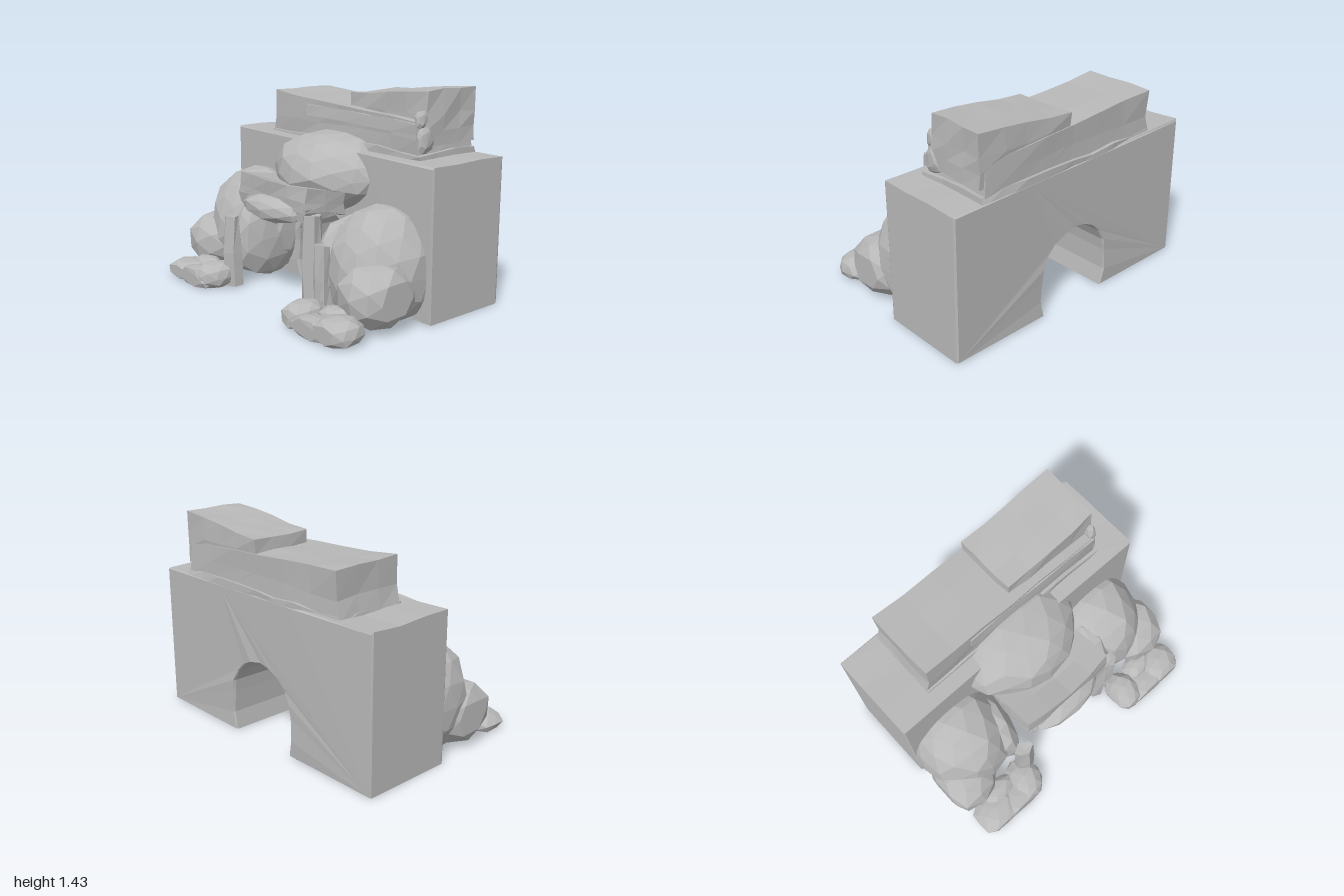
import * as THREE from 'three';

const stone = new THREE.MeshStandardMaterial({ color: 0xb8b8b8, flatShading: true });
stone.name = 'grey stone';

// Repeatable noise from a position, so shared corners move together
function noise(x, y, z, k) {
  const r = (v) => Math.round(v * 1000);
  const s = Math.sin(r(x) * 0.129 + r(y) * 0.782 + r(z) * 0.377 + k * 4.13) * 43758.55;
  return (s - Math.floor(s)) * 2 - 1;
}

// Moves every vertex by a rule, then keeps it inside the outer limits
function deform(geo, rule) {
  const p = geo.attributes.position;
  const v = new THREE.Vector3();
  for (let i = 0; i < p.count; i++) {
    rule(v.fromBufferAttribute(p, i));
    p.setXYZ(i, THREE.MathUtils.clamp(v.x, -1, 1), Math.max(v.y, 0), Math.min(v.z, 0.69));
  }
  geo.computeVertexNormals();
  return geo;
}

function jitter(v, a) {
  const { x, y, z } = v;
  v.x += noise(x, y, z, 1) * a;
  v.y += noise(x, y, z, 2) * a;
  v.z += noise(x, y, z, 3) * a;
}

export function createModel() {
  const model = new THREE.Group();
  model.name = 'rockArch';

  const add = (name, geo) => {
    const m = new THREE.Mesh(geo, stone);
    m.name = name;
    model.add(m);
  };

  // Faceted boulder: centre, radii, roughness
  const rock = (name, c, r, rough = 0.05, detail = 1) =>
    add(name, deform(new THREE.IcosahedronGeometry(1, detail), (v) => {
      jitter(v, rough);
      v.set(c[0] + v.x * r[0], c[1] + v.y * r[1], c[2] + v.z * r[2]);
    }));

  // Rough cut block between two corners, with an optional extra rule
  const block = (name, a, b, rule = () => {}, rough = 0.008, seg = [4, 2, 2]) => {
    const g = new THREE.BoxGeometry(b[0] - a[0], b[1] - a[1], b[2] - a[2], ...seg);
    g.translate((a[0] + b[0]) / 2, (a[1] + b[1]) / 2, (a[2] + b[2]) / 2);
    add(name, deform(g, (v) => { const o = v.clone(); jitter(v, rough); rule(v, o); }));
  };

  // Wall with the arched passage
  const s = new THREE.Shape();
  s.moveTo(-1, 0);
  s.lineTo(-0.27, 0);
  s.lineTo(-0.295, 0.12);
  s.lineTo(-0.29, 0.27);
  for (let i = 1; i < 10; i++) {
    const a = Math.PI * (1 - i / 10);
    s.lineTo(Math.cos(a) * 0.29, 0.27 + Math.sin(a) * 0.28);
  }
  s.lineTo(0.285, 0.27);
  s.lineTo(0.295, 0.12);
  s.lineTo(0.27, 0);
  s.lineTo(1, 0);
  s.lineTo(1, 0.99);
  s.lineTo(0.4, 0.995);
  s.lineTo(-0.3, 1.0);
  s.lineTo(-1, 1.015);
  s.closePath();
  const wall = new THREE.ExtrudeGeometry(s, {
    depth: 0.62, steps: 3, bevelThickness: 0.012, bevelSize: 0.008, bevelOffset: -0.008, bevelSegments: 1,
  });
  wall.translate(0, 0, -0.655);
  add('archWall', deform(wall, (v) => {
    const { x, y, z } = v;
    if (y > 0.9) v.y += noise(x, y, z, 2) * 0.008;
    v.z += noise(x, y, z, 3) * 0.006;
  }));

  // Stacked slabs on top
  block('slabLedge', [-0.71, 0.96, -0.655], [0.79, 1.03, -0.12], (v, o) => {
    if (o.y > 1) v.x *= 0.985;
  }, 0.014, [8, 1, 3]);
  block('lowerSlab', [-0.69, 1.0, -0.64], [0.74, 1.25, -0.14], (v, o) => {
    if (o.y > 1.2) v.y += o.x < 0.05 ? 0.015 - o.x * 0.055 : 0.005 - o.x * 0.03;
    if (o.y < 1.05) v.x += Math.sign(o.x) * 0.02;
  }, 0.008, [6, 2, 3]);
  block('upperSlab', [0.05, 1.07, -0.635], [0.775, 1.36, -0.2], (v, o) => {
    if (o.y > 1.3) v.y += -0.015 + (o.x - 0.05) * 0.1;
  }, 0.01, [4, 3, 3]);
  block('frontLip', [-0.33, 1.16, -0.18], [0.74, 1.235, -0.13], (v, o) => {
    v.y -= o.x * 0.02;
  }, 0.006, [5, 1, 1]);
  rock('slabChip', [0.745, 1.24, -0.18], [0.035, 0.06, 0.05], 0.15);
  rock('slabChip', [0.76, 1.11, -0.2], [0.035, 0.09, 0.07], 0.15);

  // Boulder above the passage, and the lintel in front of it
  rock('crownBoulder', [0, 0.82, -0.12], [0.465, 0.275, 0.4], 0.03, 2);
  block('lintel', [-0.36, 0.62, 0.13], [0.36, 0.8, 0.45], (v, o) => {
    const end = Math.abs(o.x) / 0.36;
    v.y += (o.z - 0.4) * 0.22 + end * 0.015;
    v.z -= end * end * 0.02;
    if (o.y < 0.65) v.y += end * 0.03;
  }, 0.01, [4, 2, 2]);
  // Tapered underside with a rounded belly
  block('lintelUnderside', [-0.36, 0.57, 0.12], [0.36, 0.69, 0.44], (v, o) => {
    const end = Math.abs(o.x) / 0.36;
    if (o.y < 0.6) {
      v.x *= 0.93;
      v.y += end * 0.04;
      v.z -= 0.02;
    }
  }, 0.012, [4, 1, 2]);
  rock('lintelBelly', [0, 0.635, 0.39], [0.3, 0.095, 0.155], 0.06);

  // Boulders on both sides of the passage
  rock('sideBoulder', [-0.66, 0.35, 0.03], [0.35, 0.42, 0.39], 0.03, 2);
  rock('sideBoulder', [0.64, 0.31, 0.03], [0.34, 0.41, 0.39], 0.03, 2);
  for (const side of [-1, 1]) {
    rock('innerBoulder', [side * 0.445, 0.32, 0.12], [0.13, 0.32, 0.3], 0.05);
    rock('outerBoulder', [side * 0.83, 0.225, 0.26], [0.25, 0.21, 0.25], 0.04);
  }

  // Standing stones: a broken one and a tall one under the lintel
  const pillar = (name, x, z, rx, rz, y1) => {
    const g = new THREE.CylinderGeometry(0.88, 1, y1, 6, 2);
    g.translate(0, y1 / 2, 0);
    add(name, deform(g, (v) => {
      v.x = x + v.x * rx;
      v.z = z + v.z * rz;
      jitter(v, 0.012);
    }));
  };
  pillar('brokenPillar', -0.425, 0.46, 0.08, 0.06, 0.5);
  pillar('tallPillar', 0.36, 0.38, 0.075, 0.075, 0.65);
  pillar('shortPillar', 0.45, 0.38, 0.06, 0.06, 0.48);

  // Low rocks at the foot of each side
  const feet = [
    [-0.79, 0.055, 0.57, 0.18, 0.08, 0.16], [-0.62, 0.05, 0.61, 0.2, 0.08, 0.16],
    [-0.5, 0.08, 0.54, 0.13, 0.1, 0.16], [-0.7, 0.09, 0.48, 0.15, 0.07, 0.09],
    [0.49, 0.075, 0.55, 0.12, 0.1, 0.16], [0.66, 0.05, 0.61, 0.2, 0.075, 0.16],
    [0.83, 0.07, 0.57, 0.16, 0.1, 0.17], [0.7, 0.1, 0.48, 0.13, 0.07, 0.09],
  ];
  for (const f of feet) rock('footRock', f.slice(0, 3), f.slice(3), 0.07);

  return model;
}
